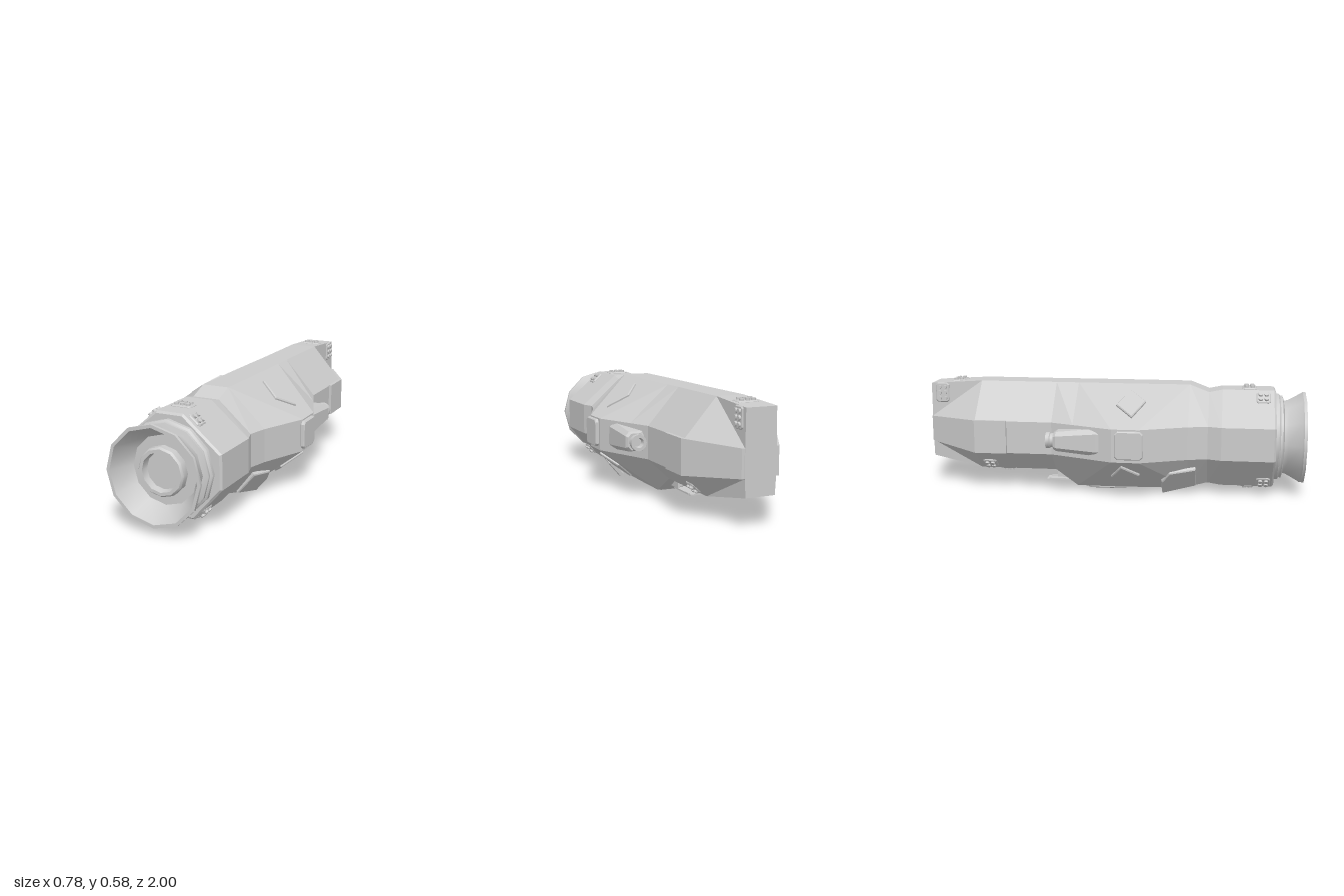
import * as THREE from 'three';
import { toCreasedNormals } from 'three/addons/utils/BufferGeometryUtils.js';

const mat = new THREE.MeshStandardMaterial({ color: 0xcccccc });
const flat = new THREE.MeshStandardMaterial({ color: 0xcccccc, flatShading: true });

// Skin over rings of [x, y], listed clockwise seen from +z, running from +z to -z.
// Each quad folds outward, or inward from segment foldIn on.
function loft(rings, zs, foldIn = Infinity) {
  const pos = [], n = rings[0].length;
  const P = (i, j) => [...rings[i][j % n], zs[i]];
  const tri = (...pts) => pts.forEach((p) => pos.push(...p));
  const cx = rings[0].reduce((s, p) => s + p[0], 0) / n;
  const cy = rings[0].reduce((s, p) => s + p[1], 0) / n;
  const reach = (p, q) => Math.hypot((p[0] + q[0]) / 2 - cx, (p[1] + q[1]) / 2 - cy);
  for (let i = 0; i < rings.length - 1; i++) {
    for (let j = 0; j < n; j++) {
      const a = P(i, j), b = P(i, j + 1), c = P(i + 1, j + 1), d = P(i + 1, j);
      if ((reach(a, c) > reach(b, d)) !== (i >= foldIn)) { tri(a, b, c); tri(a, c, d); }
      else { tri(a, b, d); tri(b, c, d); }
    }
  }
  const e = rings.length - 1;
  for (let k = 1; k < n - 1; k++) {
    tri(P(0, 0), P(0, k + 1), P(0, k));
    tri(P(e, 0), P(e, k), P(e, k + 1));
  }
  const g = new THREE.BufferGeometry();
  g.setAttribute('position', new THREE.Float32BufferAttribute(pos, 3));
  g.computeVertexNormals();
  return g;
}

// Box outline with cut corners
function cutBox(cx, cy, hw, hh, c) {
  return [[hw - c, hh], [hw, hh - c], [hw, c - hh], [hw - c, -hh],
    [c - hw, -hh], [-hw, c - hh], [-hw, hh - c], [c - hw, hh]].map(([x, y]) => [cx + x, cy + y]);
}

// Bevelled plate from an outline
function plate(points, depth) {
  const shape = new THREE.Shape(points.map(([x, y]) => new THREE.Vector2(x, y)));
  return new THREE.ExtrudeGeometry(shape, {
    depth, bevelEnabled: true, bevelThickness: 0.005, bevelSize: 0.005, bevelSegments: 1,
  });
}
const rect = (w, h, c) => cutBox(0, 0, w / 2, h / 2, c);

// Turn an object so its local z follows the surface normal and its local x runs along the hull
function seat(obj, p, normal, s = 1) {
  const n = new THREE.Vector3(...normal).normalize();
  const y = new THREE.Vector3().crossVectors(n, new THREE.Vector3(0, 0, s)).normalize();
  const x = new THREE.Vector3().crossVectors(y, n);
  obj.quaternion.setFromRotationMatrix(new THREE.Matrix4().makeBasis(x, y, n));
  obj.position.set(...p);
  return obj;
}

export function createModel() {
  const root = new THREE.Group();
  const add = (name, geo, parent = root, m = flat) => {
    const mesh = new THREE.Mesh(geo, m);
    mesh.name = name;
    parent.add(mesh);
    return mesh;
  };

  // Hull: z, half width, roof half width, floor half width, roof, side top, side bottom, floor
  const sections = [
    [0.845, 0.255, 0.067, 0.115, 0.535, 0.377, 0.213, 0.053],
    [0.835, 0.265, 0.07, 0.12, 0.545, 0.38, 0.21, 0.044],
    [0.57, 0.265, 0.07, 0.12, 0.545, 0.38, 0.21, 0.044],
    [0.5, 0.242, 0.07, 0.12, 0.53, 0.38, 0.21, 0.055],
    [0.4, 0.268, 0.07, 0.13, 0.568, 0.38, 0.21, 0.03],
    [0.16, 0.37, 0.073, 0.13, 0.568, 0.38, 0.21, 0.02],
    [0.02, 0.37, 0.073, 0.13, 0.568, 0.38, 0.21, 0.018],
    [-0.19, 0.285, 0.072, 0.13, 0.568, 0.38, 0.21, 0.018],
    [-0.31, 0.238, 0.07, 0.12, 0.568, 0.38, 0.21, 0.1],
    [-0.72, 0.238, 0.073, 0.12, 0.568, 0.38, 0.21, 0.1],
    [-1, 0.08, 0.078, 0.075, 0.55, 0.37, 0.235, 0.148],
  ];
  const rings = sections.map(([, w, t, b, top, hi, lo, bot]) =>
    [[t, top], [w, hi], [w, lo], [b, bot], [-b, bot], [-w, lo], [-w, hi], [-t, top]]);
  add('hull', loft(rings, sections.map((s) => s[0]), 9));

  // Main engine bell with a recessed inner nozzle
  const bell = [[0, 0.83], [0.232, 0.83], [0.232, 0.862], [0.222, 0.87], [0.222, 0.882], [0.196, 0.89],
    [0.2, 0.91], [0.237, 0.975], [0.245, 0.985], [0.245, 1], [0.229, 1], [0.17, 0.89], [0.12, 0.89],
    [0.12, 0.925], [0.112, 0.935], [0.096, 0.935], [0.09, 0.9], [0, 0.9]];
  const bellGeo = new THREE.LatheGeometry(bell.map(([r, z]) => new THREE.Vector2(r, z)), 12);
  const bellMesh = add('engineBell', toCreasedNormals(bellGeo, 0.6), root, mat);
  bellMesh.rotation.x = Math.PI / 2;
  bellMesh.position.y = 0.285;

  // Pad with a grid of small round thrusters
  const cluster = (cols, rows, p, n, s = 1) => {
    const g = new THREE.Group();
    g.name = 'thrusterCluster';
    add('thrusterPad', plate(rect(cols * 0.032, rows * 0.032, 0.008), 0.002), g);
    for (let i = 0; i < cols; i++) {
      for (let j = 0; j < rows; j++) {
        const stud = add('thruster', new THREE.CylinderGeometry(0.011, 0.012, 0.012, 8), g, mat);
        stud.rotation.x = Math.PI / 2;
        stud.position.set((i - (cols - 1) / 2) * 0.03, (j - (rows - 1) / 2) * 0.03, 0.011);
      }
    }
    root.add(seat(g, p, n, s));
  };
  cluster(2, 3, [0, 0.545, 0.71], [0, 1, 0]);
  cluster(2, 3, [0, 0.558, -0.86], [0, 1, -0.06]);

  const diamond = (l, w) => plate([[-l, -0.015], [0.01, -w], [l, 0.015], [-0.01, w]], 0.008);
  for (const s of [1, -1]) {
    // Thrusters around the stern, the nose and the belly
    cluster(2, 2, [s * 0.11, 0.511, 0.78], [s * 0.165, 0.195, 0], s);
    cluster(2, 2, [s * 0.146, 0.075, 0.79], [s * 0.165, -0.145, 0], s);
    cluster(2, 3, [s * 0.065, 0.044, 0.71], [0, -1, 0]);
    cluster(2, 3, [s * 0.077, 0.5, -0.94], [s, 0, 0], s);
    cluster(2, 2, [s * 0.158, 0.135, -0.66], [s * 0.11, -0.12, 0], s);
    cluster(2, 2, [s * 0.075, 0.1, -0.575], [0, -1, 0]);

    // Diamond plates on the upper and lower slopes
    seat(add('upperDiamondPlate', diamond(0.07, 0.098)), [s * 0.21, 0.481, 0.105], [s * 0.19, 0.3, 0], s);
    seat(add('lowerDiamondPlate', diamond(0.07, 0.102)), [s * 0.256, 0.12, 0.08], [s * 0.19, -0.24, 0], s);

    // Square side hatch
    seat(add('sideHatch', plate(rect(0.135, 0.135, 0.012), 0.013)), [s * 0.37, 0.3, 0.11], [s, 0, 0], s);

    // Five-sided hatch on the lower slope
    const outline = [[0.08, -0.075], [-0.05, -0.075], [-0.09, -0.015], [-0.09, 0.08], [0.08, 0.06]];
    seat(add('lowerHatch', plate(outline.map(([x, y]) => [s * x, y]), 0.02)),
      [s * 0.18, 0.092, 0.355], [s * 0.165, -0.14, 0.05], s);

    // Nose armour panel
    const panel = (x0, x1, hi, lo) => {
      const r = [[x0, hi], [x1, hi], [x1, lo], [x0, lo]];
      return s > 0 ? r : r.map(([x, y]) => [-x, y]).reverse();
    };
    add('nosePanel', loft([panel(0.1, 0.253, 0.384, 0.21), panel(0.1, 0.253, 0.384, 0.21),
      panel(0, 0.095, 0.372, 0.235)], [-0.55, -0.72, -0.998]));

    // Side engine pod with a hollow nozzle
    const pod = new THREE.Group();
    pod.name = 'sidePod';
    root.add(pod);
    add('podBody', loft([cutBox(s * 0.28, 0.3, 0.055, 0.055, 0.02), cutBox(s * 0.278, 0.3, 0.068, 0.072, 0.025),
      cutBox(s * 0.288, 0.3, 0.056, 0.05, 0.02), cutBox(s * 0.293, 0.3, 0.042, 0.042, 0.018)],
    [-0.015, -0.06, -0.27, -0.285]), pod);
    const tip = [[0, 0], [0.036, 0], [0.036, 0.022], [0.042, 0.026], [0.042, 0.045],
      [0.026, 0.045], [0.022, 0.02], [0, 0.02]];
    const tipGeo = new THREE.LatheGeometry(tip.map(([r, z]) => new THREE.Vector2(r, z)), 12);
    const nozzle = add('podNozzle', toCreasedNormals(tipGeo, 0.6), pod, mat);
    nozzle.rotation.x = -Math.PI / 2;
    nozzle.position.set(s * 0.293, 0.3, -0.28);
  }

  // Belly plate
  seat(add('bellyPlate', plate(rect(0.2, 0.2, 0.015), 0.01)), [0, 0.015, -0.035], [0, -1, 0]);

  // Boarding bay behind it: walls, steps and a thin ramp
  const box = (name, w, h, d, x, y, z) =>
    add(name, new THREE.BoxGeometry(w, h, d)).position.set(x, y, z);
  for (const s of [1, -1]) {
    box('bayWall', 0.012, 0.06, 0.1, s * 0.066, 0.075, -0.26);
    box('rampRail', 0.01, 0.008, 0.17, s * 0.035, 0.024, -0.28);
  }
  for (let i = 0; i < 3; i++) box('bayStep', 0.12, 0.02, 0.03, 0, 0.05 + i * 0.02, -0.235 - i * 0.03);
  for (let i = -2; i <= 2; i++) box('bayTooth', 0.012, 0.03, 0.012, i * 0.026, 0.09, -0.312);
  box('ramp', 0.07, 0.006, 0.19, 0, 0.02, -0.285);

  return root;
}
